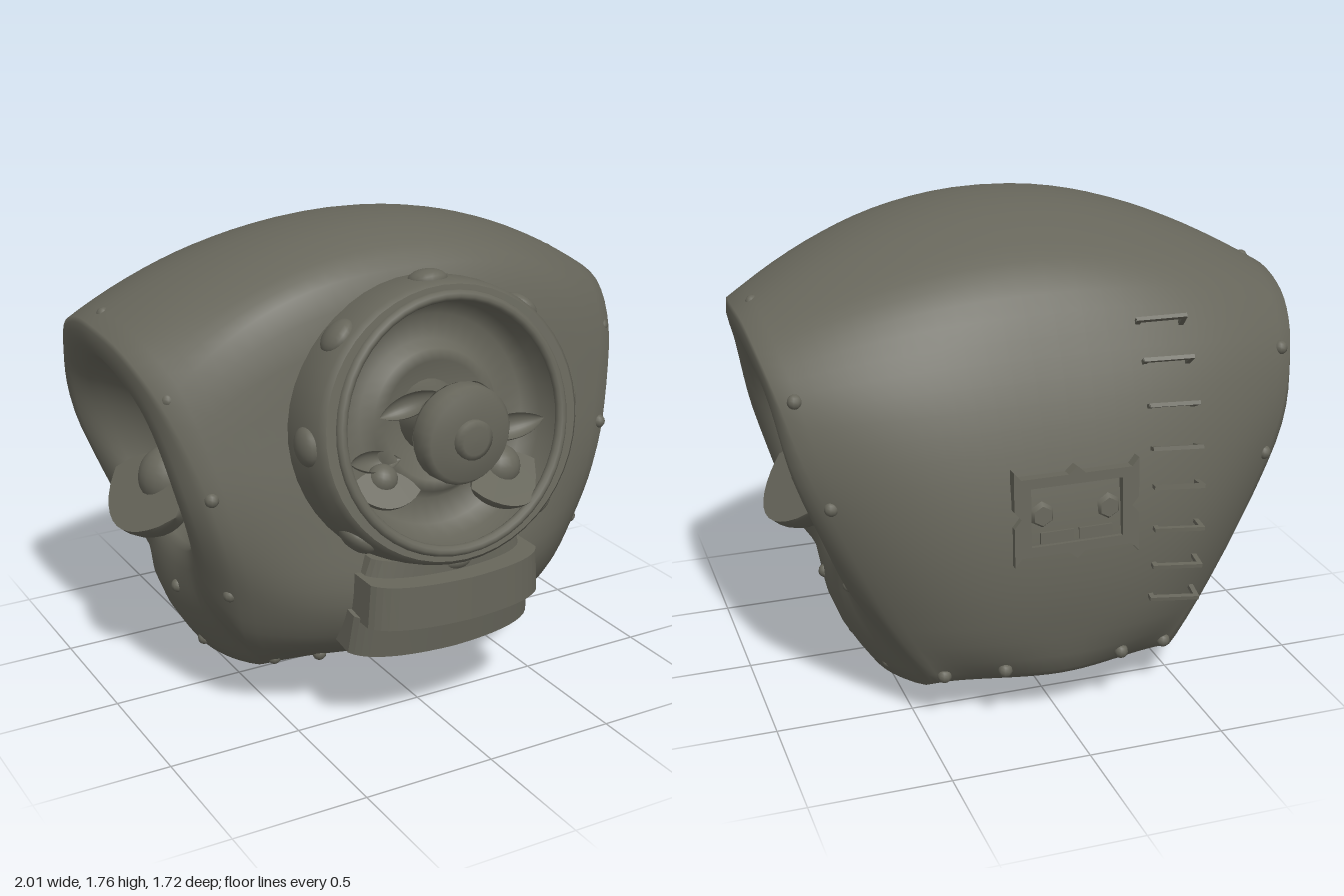
import * as THREE from 'three';

const olive = new THREE.MeshStandardMaterial({ color: 0x67665b, side: THREE.DoubleSide });
olive.name = 'olive grey';

function add(parent, name, geo, pos = [0, 0, 0], rot = [0, 0, 0], scale = [1, 1, 1]) {
  const m = new THREE.Mesh(geo, olive);
  m.name = name;
  m.position.set(...pos);
  m.rotation.set(...rot);
  m.scale.set(...scale);
  parent.add(m);
  return m;
}
function group(parent, name, pos = [0, 0, 0], rot = [0, 0, 0]) {
  const g = new THREE.Group();
  g.name = name;
  g.position.set(...pos);
  g.rotation.set(...rot);
  parent.add(g);
  return g;
}
const box = (w, h, d) => new THREE.BoxGeometry(w, h, d);
// lathe about the z axis from [radius, z] points
const turned = (pts, n = 32) =>
  new THREE.LatheGeometry(pts.map(p => new THREE.Vector2(...p)), n).rotateX(Math.PI / 2);

// shell: middle outline (z, y) and the ridge around each side opening (x, y, z)
const MID = [[0, 1.77], [.25, 1.75], [.42, 1.65], [.53, 1.2], [.61, .8], [.65, .52], [.57, .34], [.42, .22], [.15, .38],
  [-.2, .45], [-.5, .36], [-.71, .18], [-.81, .45], [-.83, .75], [-.77, 1.08], [-.66, 1.36], [-.5, 1.6], [-.25, 1.72]];
const RIDGE = [[1, 1.46, -.05], [.98, 1.42, .18], [.92, 1.28, .35], [.83, 1.02, .46], [.77, .8, .49], [.71, .58, .46],
  [.65, .36, .39], [.53, .19, .29], [.565, .12, .06], [.585, .1, -.18], [.55, .12, -.42], [.46, .17, -.62],
  [.6, .42, -.64], [.75, .75, -.64], [.88, 1.05, -.6], [.945, 1.27, -.51], [.98, 1.39, -.38], [.995, 1.45, -.22]];

function shellGeometry() {
  const N = 72, C = new THREE.Vector3(0, .93, -.11), step = THREE.MathUtils.smoothstep;
  const loop = pts => new THREE.CatmullRomCurve3(pts, true).getPoints(N).slice(0, N);
  const mid = loop(MID.map(([z, y]) => new THREE.Vector3(0, y, z)));
  const ridge = loop(RIDGE.map(p => new THREE.Vector3(...p)));
  const faceX = y => .56 + .315 * (y - .1);
  // rim of the bowl sunk into the side
  const rim = ridge.map(r => {
    const a = Math.atan2(r.y - C.y, r.z - C.z);
    const y = C.y + .38 * Math.sin(a), z = C.z + .37 * Math.cos(a);
    return new THREE.Vector3(faceX(y), y, z);
  });
  const half = [];
  for (let k = 0; k <= 14; k++) {
    const t = Math.pow(k / 14, .85);
    half.push(ridge.map((r, i) => {
      // round sides, parabolic crown, and a hollow lip underneath
      const round = Math.pow(t, 2.9 - .9 * step(r.y, 1.2, 1.46));
      const f = THREE.MathUtils.lerp(step(t, 0, 1), round, step(r.y, .15, .35));
      const p = mid[i].clone().lerp(r, f);
      p.x = r.x * t;
      return p;
    }));
  }
  for (const k of [.12, .3, .5, .68, .85, 1]) half.push(ridge.map((r, i) => {
    const p = r.clone().lerp(rim[i], k);
    p.x += (.065 - .035 * step(r.y, .9, 1.4)) * Math.sin(Math.PI * k);
    return p;
  }));
  for (const q of [.95, .85, .7, .5, .25, .001]) half.push(rim.map(b => {
    const p = C.clone().lerp(b, q);
    p.x = faceX(p.y) - .27 * (1 - Math.pow(q, 2.6));
    return p;
  }));
  const mirrored = half.slice(1).reverse().map(row => row.map(p => new THREE.Vector3(-p.x, p.y, p.z)));
  const rows = [...mirrored, ...half], pos = [], idx = [];
  rows.forEach(row => row.forEach(p => pos.push(p.x, p.y, p.z)));
  for (let r = 0; r < rows.length - 1; r++) for (let i = 0; i < N; i++) {
    const a = r * N + i, b = r * N + (i + 1) % N;
    idx.push(a, b, b + N, a, b + N, a + N);
  }
  const g = new THREE.BufferGeometry();
  g.setAttribute('position', new THREE.Float32BufferAttribute(pos, 3));
  g.setIndex(idx);
  g.computeVertexNormals();
  return g;
}

// pointed leaf outline: [half width, position along its length]
function leaf(len, r) {
  const pts = [];
  for (let i = 0; i <= 12; i++) {
    const u = i / 6 - 1;
    pts.push(new THREE.Vector2(r * Math.pow(1 - u * u, .85) + .001, u * len));
  }
  return pts;
}
// half spindle lying along x, bulging downward and open on top
const cup = (len, r) => new THREE.LatheGeometry(leaf(len, r), 14, -Math.PI / 2, Math.PI)
  .rotateZ(-Math.PI / 2).rotateX(Math.PI / 2);
// flat leaf closing a cup
const leafFace = (len, r) => new THREE.ShapeGeometry(new THREE.Shape(
  [...leaf(len, r), ...leaf(len, r).reverse().map(p => new THREE.Vector2(-p.x, p.y))]))
  .rotateZ(-Math.PI / 2).rotateX(-Math.PI / 2);

// eye facing +z: ball set in a pointed lid that faces outward and up
function eye(parent, name, w, pos, rot) {
  const g = group(parent, name, pos, rot);
  const tilt = [Math.PI / 4, 0, 0];
  add(g, 'eyeball', new THREE.SphereGeometry(w * .43, 20, 14), [0, w * .14, -w * .38]);
  add(g, 'eyelid', cup(w, w * .57), [0, 0, 0], tilt);
  add(g, 'eyelidFace', leafFace(w, w * .57), [0, 0, 0], tilt);
}

// curved-front block seen from above, narrowing to the given width ratio at its top
function chinBlock(w, h, back, front, taper) {
  const s = new THREE.Shape();
  s.moveTo(-w, -back);
  s.lineTo(w, -back);
  s.lineTo(w, -(front - .1));
  s.quadraticCurveTo(w * .85, -front, 0, -front - .01);
  s.quadraticCurveTo(-w * .85, -front, -w, -(front - .1));
  const g = new THREE.ExtrudeGeometry(s, { depth: h, bevelEnabled: false, curveSegments: 10 }).rotateX(-Math.PI / 2);
  const p = g.attributes.position;
  for (let i = 0; i < p.count; i++) if (p.getY(i) > h / 2) p.setX(i, p.getX(i) * taper);
  g.computeVertexNormals();
  return g;
}

export function createModel() {
  const model = new THREE.Group();
  model.name = 'helmet';
  add(model, 'shell', shellGeometry());

  // small rivets on both sides
  const rivet = new THREE.SphereGeometry(.026, 10, 8);
  for (const s of [1, -1]) for (const [x, y, z] of [[.935, 1.48, -.1], [.89, 1.29, .34], [.8, .96, .47], [.72, .57, .42],
    [.71, .4, -.07], [.71, .53, -.47], [.8, .9, -.63], [.89, 1.26, -.54], [.605, .15, -.08], [.56, .17, -.41],
    [.42, .21, -.65], [.22, .24, -.73], [.5, .22, .31], [.35, .23, .38]])
    add(model, 'rivet', rivet, [x * s, y, z]);
  add(model, 'frontRivet', rivet, [0, .26, .46]);

  // porthole ring with large studs
  const port = group(model, 'porthole', [0, 1.15, .62], [-.2, 0, 0]);
  add(port, 'ringBand', turned([[.5, -.22], [.535, -.16], [.53, 0], [.515, .08], [.495, .1]], 48), [0, 0, 0], [0, 0, 0], [1, .95, 1]);
  add(port, 'ringFace', turned([[.495, .1], [.445, .1]], 48), [0, 0, 0], [0, 0, 0], [1, .96, 1]);
  add(port, 'ringLip', new THREE.TorusGeometry(.438, .02, 10, 48), [0, 0, .1]);
  add(port, 'dish', turned([[.43, .1], [.415, 0], [.37, -.05], [.28, -.07], [.25, -.02], [.21, -.01], [.15, -.06], [.001, -.07]], 40));
  const stud = new THREE.SphereGeometry(.07, 16, 12);
  for (let i = 0; i < 8; i++) {
    const a = i * Math.PI / 4;
    add(port, 'stud', stud, [.515 * Math.cos(a), .49 * Math.sin(a), 0], [0, 0, a], [.55, 1, 1]);
  }

  // snout in the porthole
  const snout = group(model, 'snout', [0, 1.15, 0]);
  add(snout, 'snoutStem', turned([[.13, .48], [.12, .66], [.17, .72]], 24));
  add(snout, 'snoutBarrel', turned([[.1, .7], [.165, .715], [.178, .74], [.175, .79], [.155, .815], [.07, .825], [.001, .825]], 28));
  add(snout, 'snoutButton', turned([[.07, .81], [.07, .845], [.05, .852], [.001, .853]], 20));

  // eyes and petals around the snout
  eye(model, 'smallPortEye', .125, [-.265, .98, .71], [0, -.2, -.15]);
  eye(model, 'largePortEye', .185, [.23, .93, .73], [0, .15, -.04]);
  for (const [x, y, a, w] of [[.28, 1.09, .15, .13], [.15, 1.24, -.6, .11], [-.14, 1.24, .6, .11], [-.27, 1.06, -.2, .11]])
    add(model, 'petal', cup(w, w * .45), [x, y, .65], [Math.PI / 4, 0, a], [1, .8, .8]);

  // eyes in the side bowls
  for (const s of [1, -1])
    eye(model, s > 0 ? 'leftEye' : 'rightEye', .28, [s * .815, .79, -.1], [0, s * Math.PI / 2, 0]);

  // chin guard
  const chin = group(model, 'chinGuard');
  add(chin, 'chinCollar', chinBlock(.32, .07, .35, .76, .92), [0, .64, 0]);
  add(chin, 'chinUpper', chinBlock(.35, .16, .4, .84, .97), [0, .49, 0]);
  add(chin, 'chinLower', chinBlock(.375, .15, .5, .74, .97), [0, .455, .01], [.15, 0, 0]);
  for (const s of [1, -1]) add(chin, 'chinSlotBar', box(.16, .05, .12), [s * .095, .315, .54]);
  add(chin, 'chinSlotPlate', box(.36, .07, .1), [0, .315, .51]);

  // neck: joined stubs
  const neck = group(model, 'neck', [0, .055, -.12], [-.29, 0, 0]);
  for (const [x, z, r] of [[-.17, -.03, .12], [.155, -.03, .12], [0, -.05, .11], [0, .07, .1]])
    add(neck, 'neckStub', new THREE.CylinderGeometry(r, r, .4, 10), [x, .2, z]);

  // rear hatch with pointed corners
  const hatch = group(model, 'rearHatch', [0, .86, -.81], [.06, Math.PI, 0]);
  const outline = new THREE.Shape();
  [[-.2, -.14], [-.03, -.14], [0, -.165], [.03, -.14], [.2, -.14], [.225, -.17], [.225, -.03], [.2, 0], [.225, .03],
    [.225, .17], [.2, .14], [.03, .14], [0, .165], [-.03, .14], [-.2, .14], [-.225, .17], [-.225, .03], [-.2, 0],
    [-.225, -.03], [-.225, -.17]].forEach(([x, y], i) => i ? outline.lineTo(x, y) : outline.moveTo(x, y));
  const hole = new THREE.Path();
  [[-.165, -.105], [-.165, .105], [.165, .105], [.165, -.105]].forEach(([x, y], i) => i ? hole.lineTo(x, y) : hole.moveTo(x, y));
  outline.holes.push(hole);
  add(hatch, 'hatchFrame', new THREE.ExtrudeGeometry(outline, { depth: .04, bevelEnabled: false }), [0, 0, -.012]);
  for (const s of [1, -1]) {
    add(hatch, 'hatchLatch', new THREE.CylinderGeometry(.035, .05, .02, 6), [s * .12, 0, .01], [Math.PI / 2, 0, 0]);
    add(hatch, 'hatchBlock', box(.12, .04, .02), [s * .07, -.08, .01]);
  }

  // ladder rungs up the back
  for (const [y, z, tilt] of [[1.43, -.61, .75], [1.31, -.68, .6], [1.17, -.74, .45], [1.03, -.78, .3],
    [.9, -.805, .15], [.75, -.815, 0], [.61, -.81, -.1], [.48, -.795, -.15]]) {
    const rung = group(model, 'rung', [-.38, y, z], [tilt, -.1, .06]);
    add(rung, 'rungBar', box(.18, .014, .018), [0, 0, -.03]);
    for (const s of [1, -1]) add(rung, 'rungPost', box(.018, .014, .07), [s * .082, 0, 0]);
  }
  return model;
}
